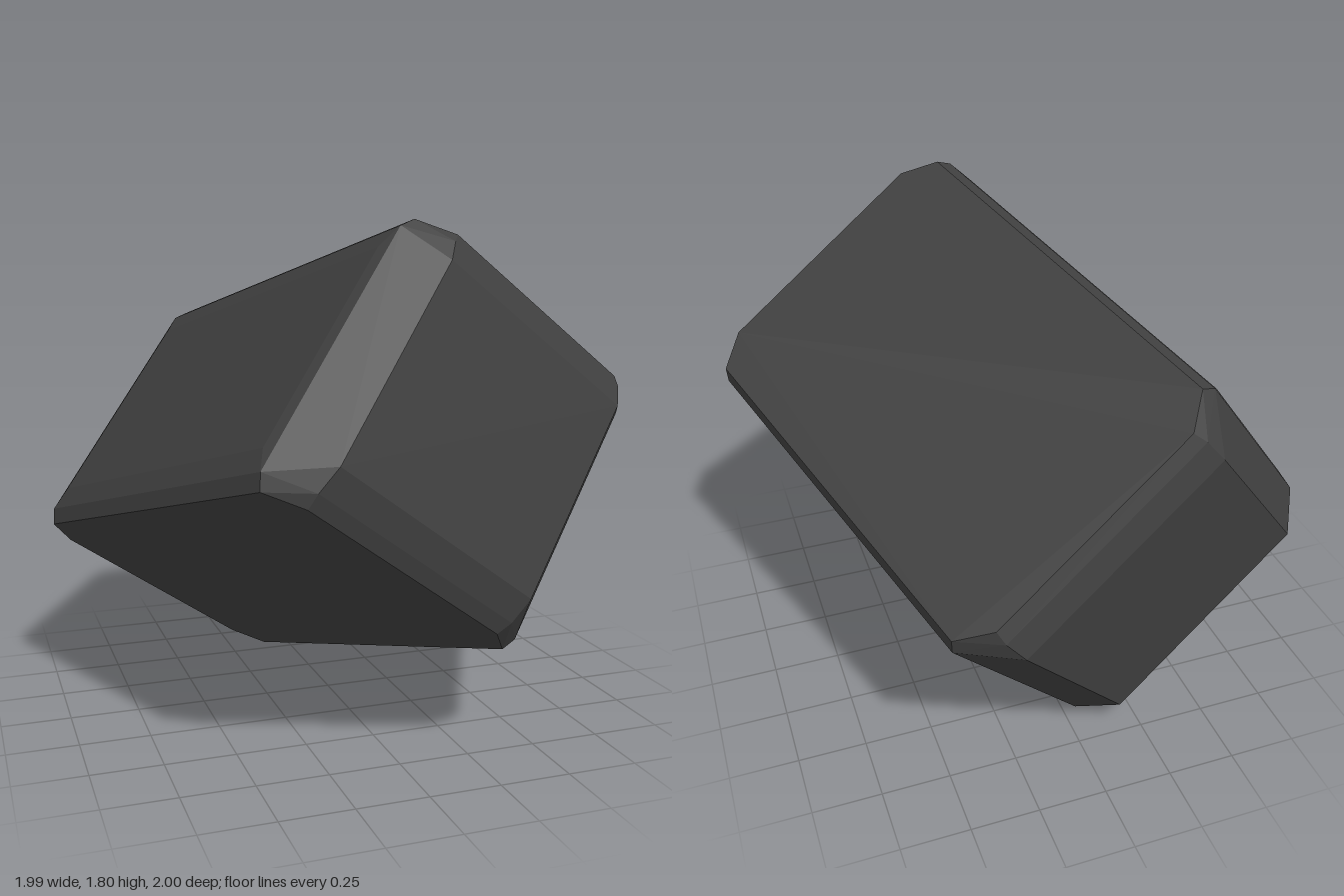
import * as THREE from 'three';
import { ConvexGeometry } from 'three/addons/geometries/ConvexGeometry.js';

// Half axes of the tilted block: length, width, height
const U = new THREE.Vector3(0.277, 0.213, 0.782);
const V = new THREE.Vector3(0.476, -0.341, -0.091);
const W = new THREE.Vector3(0.312, 0.397, -0.173);

// Points of one corner as fractions of the half axes: the four upright
// edges have a wide chamfer, all the other edges a narrow, rounded one
const CORNER = [
  [1.03, 0.75, 0.74],   // end face, slightly raised
  [0.985, 0.75, 0.91],  // rounding of the end face
  [0.8, 1.015, 0.74],   // side face, slightly raised
  [0.85, 0.995, 0.9],   // rounding of the side face
  [0.95, 0.73, 1],      // top or bottom face, towards the end
  [0.85, 0.94, 1],      // top or bottom face, towards the side
];

export function createModel() {
  const group = new THREE.Group();
  group.name = 'tiltedBlock';
  const darkGrey = new THREE.MeshStandardMaterial({ color: 0x404040 });
  darkGrey.name = 'darkGrey';

  const points = [];
  for (const su of [-1, 1]) for (const sv of [-1, 1]) for (const sw of [-1, 1]) {
    for (const [u, v, w] of CORNER) {
      points.push(new THREE.Vector3()
        .addScaledVector(U, su * u)
        .addScaledVector(V, sv * v)
        .addScaledVector(W, sw * w));
    }
  }

  // Chamfered block resting on its lowest corner
  const geometry = new ConvexGeometry(points);
  geometry.computeBoundingBox();
  geometry.translate(0, -geometry.boundingBox.min.y, 0);
  const block = new THREE.Mesh(geometry, darkGrey);
  block.name = 'chamferedBlock';
  group.add(block);
  return group;
}
